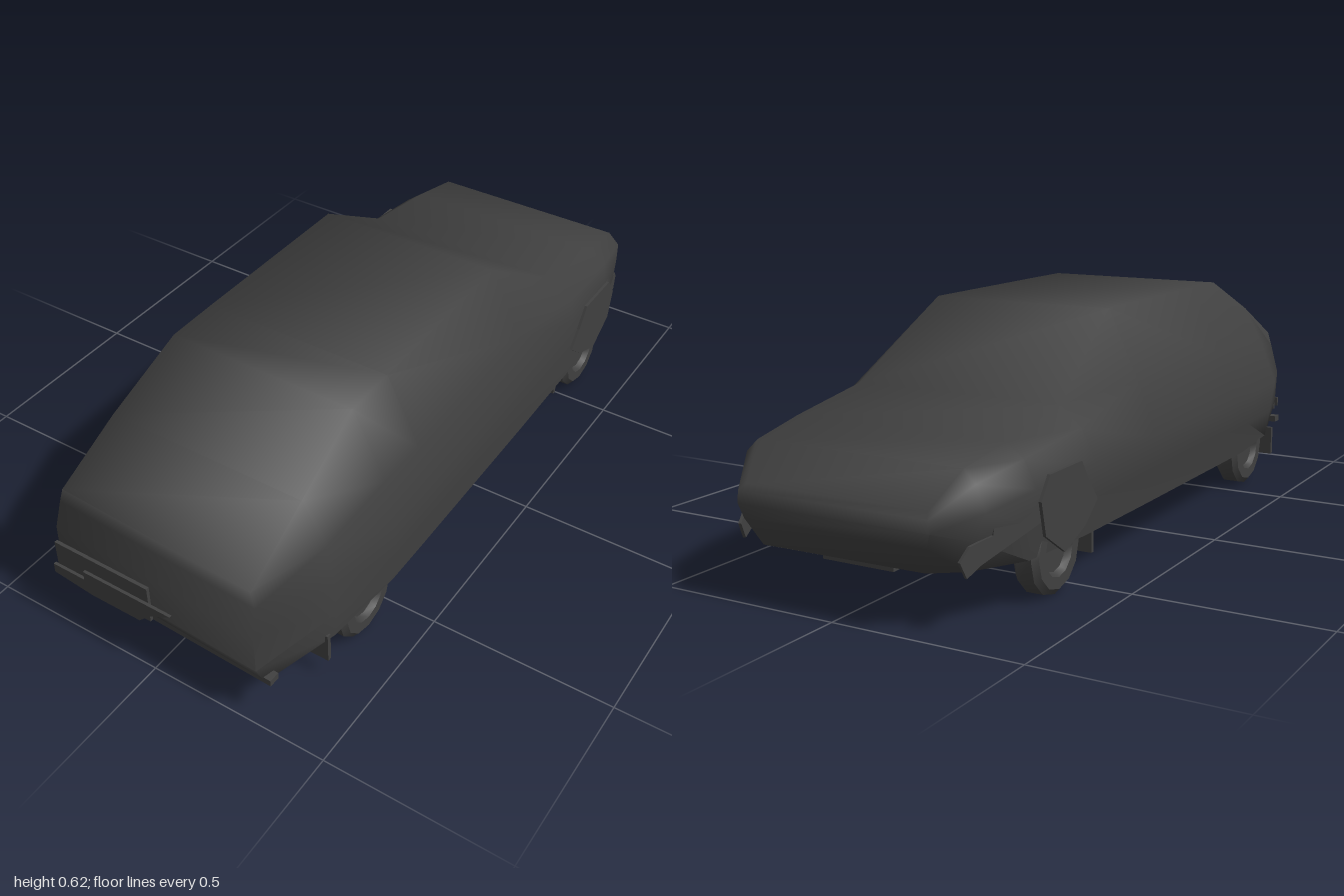
import * as THREE from 'three';
import { toCreasedNormals } from 'three/addons/utils/BufferGeometryUtils.js';

const paint = new THREE.MeshStandardMaterial({ color: 0x404040, side: THREE.DoubleSide });
paint.name = 'charcoal';

// Body sections, tail to nose. Levels: rim, sill, waist, shoulder, top edge.
// f is the floor height, tilt sets one side further back than the other.
const sections = [
  { z: [0.955, 0.985, 0.975, 0.967, 0.962], x: [0.305, 0.308, 0.308, 0.30, 0.288], y: [0.125, 0.19, 0.29, 0.38, 0.42], f: 0.125, tilt: 0.012 },
  { z: 0.76, x: [0.36, 0.37, 0.375, 0.343, 0.28], y: [0.12, 0.2, 0.295, 0.41, 0.522], f: 0.2 },
  { z: 0.53, x: [0.377, 0.388, 0.40, 0.355, 0.267], y: [0.115, 0.205, 0.3, 0.44, 0.625], f: 0.2 },
  { z: 0.38, x: [0.377, 0.387, 0.398, 0.358, 0.268], y: [0.115, 0.205, 0.3, 0.44, 0.625], f: 0.14 },
  { z: -0.15, x: [0.374, 0.382, 0.392, 0.352, 0.265], y: [0.115, 0.205, 0.3, 0.44, 0.625], f: 0.14 },
  { z: -0.47, x: [0.37, 0.377, 0.385, 0.36, 0.30], y: [0.115, 0.205, 0.3, 0.38, 0.43], f: 0.2 },
  { z: -0.72, x: [0.36, 0.365, 0.368, 0.348, 0.30], y: [0.12, 0.2, 0.29, 0.355, 0.39], f: 0.2 },
  { z: -0.88, x: [0.30, 0.322, 0.335, 0.322, 0.29], y: [0.13, 0.2, 0.27, 0.33, 0.362], f: 0.14 },
  { z: [-0.94, -0.978, -0.995, -0.98, -0.965], x: [0.225, 0.25, 0.262, 0.26, 0.25], y: [0.13, 0.2, 0.24, 0.265, 0.28], f: 0.13, tilt: -0.005 },
];
const skew = [0.013, 0.009, 0, 0.013, 0.011]; // shell sits slightly to its left

function bodyGeometry() {
  const pos = [], index = [], N = 14;
  for (const s of sections) {
    const tilt = s.tilt ?? 0;
    const zAt = (i, side) => (Array.isArray(s.z) ? s.z[i] : s.z) + side * tilt;
    for (let i = 0; i < 5; i++) pos.push(s.x[i] + skew[i], s.y[i], zAt(i, 1));
    for (let i = 4; i >= 0; i--) pos.push(-s.x[i] + skew[i], s.y[i], zAt(i, -1));
    // rim lip and recessed floor
    const l = skew[0] + s.x[0] - 0.014, r = skew[0] - s.x[0] + 0.014;
    pos.push(r, s.y[0], zAt(0, -1), r, s.f, zAt(0, -1), l, s.f, zAt(0, 1), l, s.y[0], zAt(0, 1));
  }
  for (let s = 0; s < sections.length - 1; s++) {
    for (let j = 0; j < N; j++) {
      const a = s * N + j, b = s * N + (j + 1) % N;
      index.push(a, a + N, b, b, a + N, b + N);
    }
  }
  // tail and nose panels
  const e = (sections.length - 1) * N;
  for (let i = 0; i < 4; i++) {
    index.push(i, i + 1, 8 - i, i, 8 - i, 9 - i);
    index.push(e + i, e + 8 - i, e + i + 1, e + i, e + 9 - i, e + 8 - i);
  }
  const g = new THREE.BufferGeometry();
  g.setAttribute('position', new THREE.Float32BufferAttribute(pos, 3));
  g.setIndex(index);
  return toCreasedNormals(g, 1.4);
}

// Thin plate cut from an outline
function plate(points, depth = 0.008) {
  const shape = new THREE.Shape(points.map(p => new THREE.Vector2(...p)));
  return new THREE.ExtrudeGeometry(shape, { depth, bevelEnabled: false });
}

export function createModel() {
  const car = new THREE.Group();
  car.name = 'hatchbackCar';
  const add = (name, geo, x = 0, y = 0, z = 0) => {
    const m = new THREE.Mesh(geo, paint);
    m.name = name;
    m.position.set(x, y, z);
    car.add(m);
    return m;
  };
  const box = (name, w, h, d, x, y, z) => add(name, new THREE.BoxGeometry(w, h, d), x, y, z);

  add('bodyShell', bodyGeometry());

  // Wheels with dished hubs
  const tyre = toCreasedNormals(new THREE.LatheGeometry([
    [0, -0.02], [0.055, -0.02], [0.065, -0.035], [0.095, -0.035], [0.11, -0.022],
    [0.11, 0.022], [0.095, 0.035], [0.065, 0.035], [0.055, 0.02], [0, 0.02],
  ].map(p => new THREE.Vector2(...p)), 12), 0.7);
  for (const side of [-1, 1]) {
    const tag = side > 0 ? 'left' : 'right';
    for (const [end, z] of [['Rear', 0.61], ['Front', -0.59]]) {
      add(tag + end + 'Wheel', tyre, side * 0.328 + 0.01, 0.11, z).rotation.z = Math.PI / 2;
    }
    // Mud flaps
    box(tag + 'RearMudFlap', 0.115, 0.085, 0.012, side * 0.31 + 0.006, 0.1, 0.785);
    box(tag + 'FrontMudFlap', 0.10, 0.07, 0.012, side * 0.31 + 0.006, 0.095, -0.425);

    // Front arch panel and wing trim, set against the flanks
    const arch = add(tag + 'FrontArchPanel', plate([
      [0.46, 0.21], [0.50, 0.26], [0.54, 0.32], [0.69, 0.32], [0.73, 0.265], [0.71, 0.18], [0.62, 0.12], [0.52, 0.16],
    ]), side * 0.386, 0, 0);
    arch.rotation.y = Math.PI / 2;
    const trim = add(tag + 'WingTrim', plate([
      [0.70, 0.21], [0.72, 0.27], [0.85, 0.27], [0.86, 0.21], [0.93, 0.2], [0.96, 0.17], [0.94, 0.13], [0.90, 0.15], [0.80, 0.18],
    ]), side * 0.535, 0, -0.01);
    trim.rotation.y = Math.PI / 2 + side * 0.24;

    // Suspension arms and floor rails
    box(tag + 'FloorRail', 0.03, 0.02, 0.75, side * 0.2, 0.13, -0.02);
    box(tag + 'SuspensionArm', 0.035, 0.025, 0.22, side * 0.22, 0.12, 0.49);
    box(tag + 'FrontArm', 0.14, 0.025, 0.04, side * 0.22, 0.115, -0.59);
  }

  // Tail plate, stepped trim strip and bumper lip
  box('tailPlate', 0.29, 0.11, 0.009, -0.147, 0.215, 0.987);
  add('tailTrim', plate([
    [-0.3, 0.17], [-0.18, 0.155], [-0.03, 0.155], [0.005, 0.19], [0.07, 0.225], [-0.2, 0.225], [-0.2, 0.198], [-0.3, 0.198],
  ]), 0, 0, 0.992);
  box('tailLip', 0.66, 0.018, 0.03, 0.01, 0.139, 0.95).rotation.y = -0.03;

  // Underbody
  box('rearAxle', 0.56, 0.03, 0.035, 0, 0.095, 0.62);
  box('frontCrossMember', 0.5, 0.035, 0.08, 0, 0.125, -0.57);
  box('engineSump', 0.18, 0.08, 0.2, 0, 0.15, -0.68);
  box('transmissionTunnel', 0.1, 0.035, 0.8, 0, 0.13, -0.08);
  box('frontSkid', 0.3, 0.02, 0.38, 0, 0.11, -0.22);
  box('frontChinStep', 0.2, 0.03, 0.08, 0, 0.12, -0.86);
  const pipe = new THREE.CatmullRomCurve3([[0.06, 0.125, -0.4], [0.08, 0.12, 0.3], [0.15, 0.14, 0.6], [0.17, 0.13, 0.92]]
    .map(p => new THREE.Vector3(...p)));
  add('exhaustPipe', new THREE.TubeGeometry(pipe, 10, 0.012, 6));
  // Fuel tank sunk in the floor
  const tank = add('fuelTank', new THREE.CylinderGeometry(0.07, 0.07, 0.34, 12), -0.05, 0.19, 0.77);
  tank.rotation.z = Math.PI / 2;
  return car;
}
